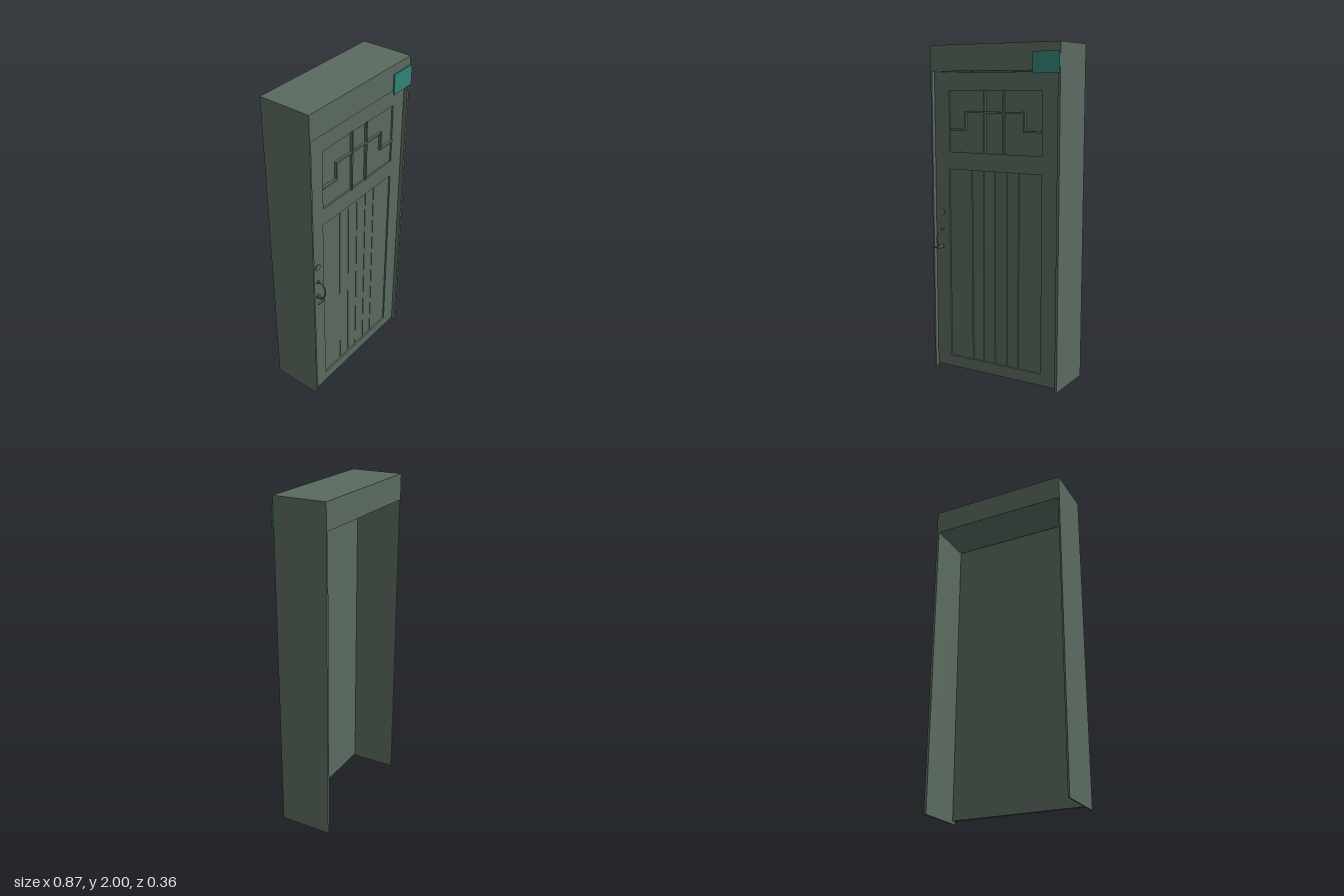
import * as THREE from 'three';

export function createModel() {
  const model = new THREE.Group();
  const green = new THREE.MeshStandardMaterial({ name: 'greyGreenPaint', color: 0x5a6a5f });
  const teal = new THREE.MeshStandardMaterial({ name: 'tealPlaque', color: 0x338377 });

  const add = (parent, name, geometry, material = green) => {
    const mesh = new THREE.Mesh(geometry, material);
    mesh.name = name;
    parent.add(mesh);
    return mesh;
  };
  // Box given by its minimum and maximum corners
  const block = (parent, name, x0, x1, y0, y1, z0, z1, material) => {
    const mesh = add(parent, name, new THREE.BoxGeometry(x1 - x0, y1 - y0, z1 - z0), material);
    mesh.position.set((x0 + x1) / 2, (y0 + y1) / 2, (z0 + z1) / 2);
    return mesh;
  };
  const group = (name) => {
    const g = new THREE.Group();
    g.name = name;
    model.add(g);
    return g;
  };

  // Deep frame, open at the back and bottom
  const frame = group('frame');
  block(frame, 'lintel', -0.435, 0.435, 1.847, 2, -0.18, 0.14);
  block(frame, 'rightJamb', -0.435, -0.425, 0, 1.847, -0.18, 0.14);
  block(frame, 'leftJamb', 0.42, 0.435, 0, 1.847, -0.18, 0.14);

  // Door slab with two recessed openings
  const door = group('door');
  const back = 0.1, front = 0.12;
  const rect = (path, x0, x1, y0, y1) =>
    path.moveTo(x0, y0).lineTo(x1, y0).lineTo(x1, y1).lineTo(x0, y1).closePath();
  const slab = rect(new THREE.Shape(), -0.42, 0.415, 0.015, 1.84);
  slab.holes.push(rect(new THREE.Path(), -0.32, 0.315, 0.085, 1.265));
  slab.holes.push(rect(new THREE.Path(), -0.315, 0.315, 1.37, 1.735));
  const slabGeometry = new THREE.ExtrudeGeometry(slab, { depth: front - back, bevelEnabled: false });
  add(door, 'doorSlab', slabGeometry).position.z = back;
  block(door, 'upperPanel', -0.315, 0.315, 1.37, 1.735, back, 0.11);

  // Lower panel of vertical planks with narrow grooves
  block(door, 'plankBacking', -0.32, 0.315, 0.085, 1.265, back, 0.103);
  const seams = [-0.32, -0.16, -0.08, 0, 0.08, 0.16, 0.315];
  for (let i = 0; i < seams.length - 1; i++) {
    block(door, 'plank', seams[i] + (i ? 0.002 : 0), seams[i + 1] - (i < 5 ? 0.002 : 0), 0.085, 1.265, 0.103, 0.11);
  }

  // Stepped glazing bars over the upper panel
  const bars = group('glazingBars');
  const w = 0.005, barBack = 0.11, barFront = 0.125;
  for (const s of [-1, 1]) {
    const span = (name, a, b, y0, y1) =>
      block(bars, name, Math.min(a * s, b * s), Math.max(a * s, b * s), y0, y1, barBack, barFront);
    span('uprightBar', 0.064 - w, 0.064 + w, 1.365, 1.742);
    span('stepUpright', 0.2 - w, 0.2 + w, 1.505 - w, 1.61 + w);
    span('lowStep', 0.2 + w, 0.318, 1.505 - w, 1.505 + w);
  }
  block(bars, 'highStep', -0.2 + w, 0.2 - w, 1.61 - w, 1.61 + w, barBack, barFront - 0.001);

  // Lock, bowed pull handle and thumb lever
  const handle = group('handle');
  const disc = (name, x, y, r, z1) => {
    const mesh = add(handle, name, new THREE.CylinderGeometry(r, r, z1 - front, 24).rotateX(Math.PI / 2));
    mesh.position.set(x, y, (front + z1) / 2);
  };
  disc('lock', -0.375, 1, 0.02, 0.126);
  disc('upperRose', -0.375, 0.892, 0.012, 0.126);
  disc('lowerRose', -0.377, 0.785, 0.014, 0.126);
  const points = [[-0.375, 0.89, 0.12], [-0.375, 0.889, 0.15], [-0.377, 0.862, 0.172],
    [-0.38, 0.815, 0.172], [-0.38, 0.788, 0.15], [-0.38, 0.786, 0.12]];
  const curve = new THREE.CatmullRomCurve3(points.map((p) => new THREE.Vector3(...p)), false, 'centripetal');
  add(handle, 'pullHandle', new THREE.TubeGeometry(curve, 32, 0.005, 8));
  block(handle, 'thumbLever', -0.425, -0.376, 0.775, 0.783, 0.158, 0.168);
  disc('leverSpindle', -0.378, 0.78, 0.008, 0.165);

  // Blank plaque on the lintel corner, held on small standoffs
  const plaque = group('plaque');
  block(plaque, 'plaquePlate', 0.27, 0.435, 1.83, 1.95, 0.144, 0.153, teal);
  for (const x of [0.29, 0.415]) block(plaque, 'standoff', x - 0.005, x + 0.005, 1.885, 1.895, 0.139, 0.145, teal);

  return model;
}
